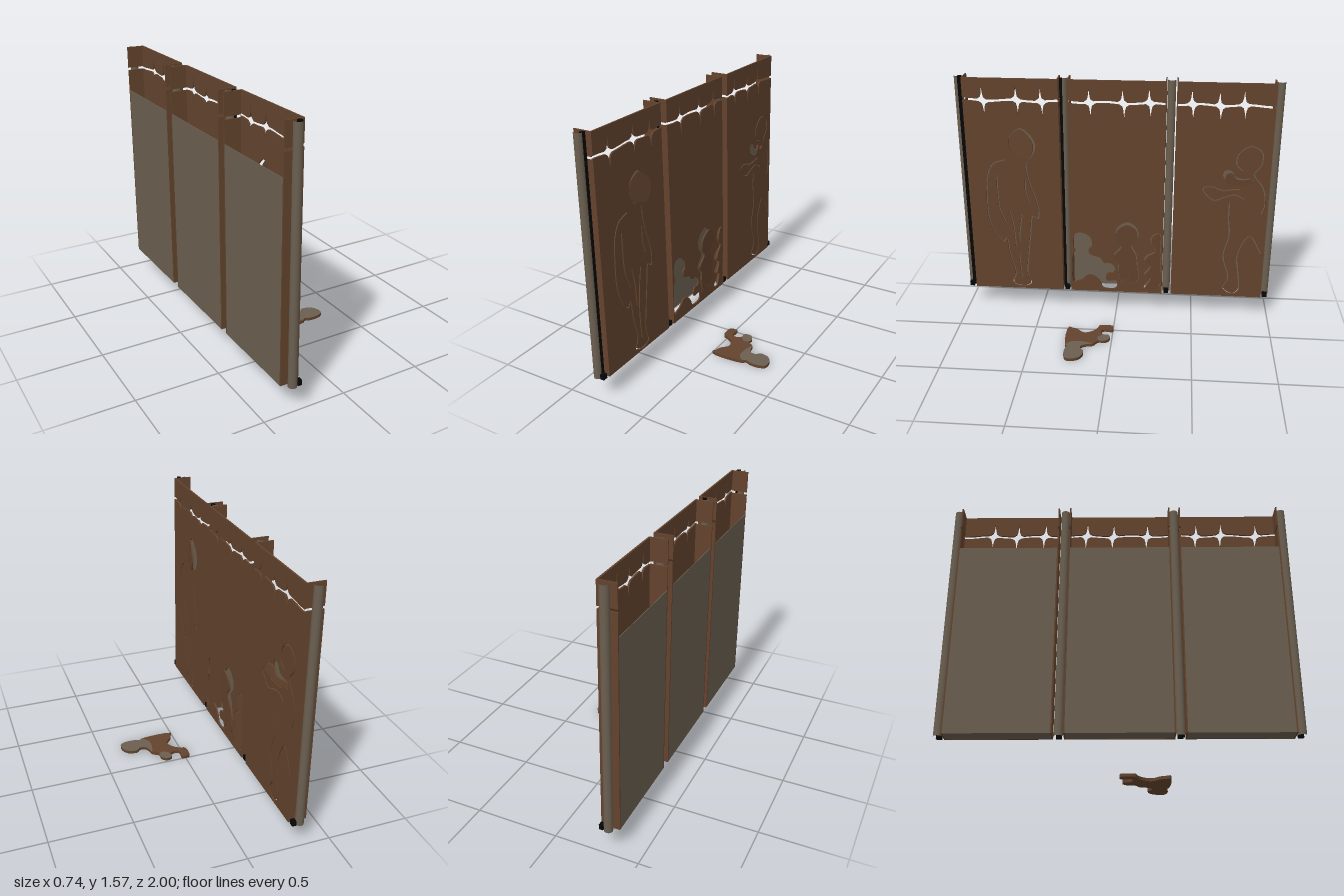
import * as THREE from 'three';

const mat = (name, color, side = THREE.FrontSide) => {
  const m = new THREE.MeshStandardMaterial({ color, side });
  m.name = name;
  return m;
};
const V = (z, y) => new THREE.Vector2(-z, y);
const BOTTOM = 0.14, TOP = 1.57, FACE = -0.27, BACK = -0.37, T = 0.01;

// Smooth outline through [z, y] pairs given in hundredths
function trace(pts, closed) {
  const c = new THREE.CatmullRomCurve3(
    pts.map(([z, y]) => new THREE.Vector3(-z / 100, y / 100, 0)), closed, 'centripetal');
  const n = pts.length * 4;
  const out = c.getPoints(n).map(p => new THREE.Vector2(p.x, p.y));
  if (closed) out.pop();
  return out;
}

// Shift every point of an outline along its normal
function offset(pts, d, closed) {
  const n = pts.length;
  return pts.map((p, i) => {
    const a = pts[closed ? (i + n - 1) % n : Math.max(i - 1, 0)];
    const b = pts[closed ? (i + 1) % n : Math.min(i + 1, n - 1)];
    const t = b.clone().sub(a).normalize();
    return new THREE.Vector2(p.x - t.y * d, p.y + t.x * d);
  });
}
const slit = pts => {
  const c = trace(pts, false);
  return [...offset(c, 0.004), ...offset(c, -0.004).reverse()];
};
const inset = (pts, d) => {
  const c = trace(pts, true);
  return offset(c, THREE.ShapeUtils.isClockWise(c) ? -d : d, true);
};

// Upright plate in the z-y plane, thickness towards +x
function plate(outline, depth, holes = []) {
  const s = new THREE.Shape(outline);
  s.holes = holes.map(h => new THREE.Path(h));
  return new THREE.ExtrudeGeometry(s, { depth, bevelEnabled: false }).rotateY(Math.PI / 2);
}

// Figure outlines
const adultHead = [[60, 126], [54, 122], [51, 117], [51, 112], [55, 106], [59, 107], [64, 108], [67, 113], [67, 120]];
const adultBody = [[57, 104], [57, 99], [55, 89], [52, 80], [50, 70], [51, 65], [54, 67], [56, 54], [58, 38], [59, 25],
  [57, 18], [60, 16], [65, 16], [69, 18], [67, 25], [70, 38], [72, 51], [74, 48], [77, 51], [81, 58], [83, 67], [83, 83],
  [82, 94], [78, 102], [70, 105]];
const adultLines = [[[76, 95], [76, 82], [75, 70], [71, 60]], [[61, 68], [63, 55], [64, 38], [63, 22]],
  [[69, 70], [67, 60], [66, 45]], [[58, 92], [58, 84], [56, 76]]];
const sittingChild = [[-7, 65], [-13, 61], [-14, 54], [-10, 49], [-13, 42], [-14, 33], [-15, 25], [-12, 21], [-8, 25],
  [-3, 20], [-2, 24], [-1, 30], [-1, 36], [2, 41], [-3, 48], [0, 53], [0, 60]];
const edgeChild = [[-27, 58], [-23, 56], [-22, 51], [-25, 45], [-20, 42], [-18, 38], [-22, 34], [-18, 28], [-22, 25],
  [-18, 18], [-22, 16], [-28.5, 19], [-28.5, 43], [-28.5, 57]];
const fallenChild = [[0, 17], [0, 22], [6, 22], [7, 25], [5, 28], [2, 28], [1, 32], [4, 35], [8, 35], [11, 39], [15, 40],
  [18, 42], [18, 45], [16, 47], [17, 53], [21, 56], [26, 56], [28, 52], [28, 46], [27, 43], [28.5, 41], [28.5, 20],
  [26, 21], [23, 22], [18, 26], [13, 24], [10, 20], [9, 17], [4, 16]];
const fallenHead = [[11, 39], [15, 40], [18, 42], [18, 45], [16, 47], [17, 53], [21, 56], [26, 56], [28, 52], [28, 46],
  [27, 43], [28, 41], [24, 37], [16, 37]];
const fallenHand = [[5, 28], [2, 28], [1, 32], [4, 35], [8, 35], [9, 31]];
const raisedArm = [[-84, 93], [-84, 97], [-78, 97], [-74, 98], [-71, 102], [-67, 102], [-66, 98], [-70, 94], [-77, 93]];
const reachingLines = [
  [[-78, 102], [-74, 106], [-75, 113], [-82, 118], [-89, 114], [-89, 106], [-85, 100], [-91, 91], [-93, 81], [-91, 73]],
  [[-80, 83], [-74, 86], [-67, 84], [-61, 82], [-55, 87], [-54, 90], [-60, 91], [-65, 89], [-77, 90]],
  [[-71, 81], [-71, 70], [-72, 58], [-69, 43], [-73, 27], [-70, 20], [-76, 16], [-80, 19], [-79, 33], [-78, 44],
    [-85, 58], [-93.5, 44]]];

// Panels: span in z, barb positions, full cut-outs, narrow slits
const panels = [
  { z0: 0.355, z1: 0.945, barbs: [0.82, 0.61, 0.46], holes: [adultHead], slits: [adultBody, ...adultLines] },
  { z0: -0.3, z1: 0.3, barbs: [0.165, -0.04, -0.2], holes: [sittingChild, edgeChild, fallenChild], slits: [] },
  { z0: -0.95, z1: -0.36, barbs: [-0.455, -0.62, -0.765], holes: [raisedArm], slits: reachingLines },
];

// Edge of the barbed-wire gap, above (s = 1) or below (s = -1)
function wireEdge(p, s) {
  const zs = [];
  for (let i = 0; i <= 40; i++) zs.push(p.z0 + (p.z1 - p.z0) * i / 40);
  p.barbs.forEach(b => [-0.03, -0.012, -0.006, 0, 0.006, 0.012, 0.03].forEach(d => zs.push(b + d + s * 0.005)));
  zs.sort((a, b) => a - b);
  return zs.map(z => {
    let h = 0.008;
    p.barbs.forEach(b => {
      const d = Math.abs(z - b - s * 0.005);
      h += Math.max(0, 0.02 * (1 - d / 0.03)) + Math.max(0, 0.06 * (1 - d / 0.008));
    });
    return V(z, 1.432 + 0.005 * Math.sin(z * 22) + s * h);
  });
}

export function createModel() {
  const root = new THREE.Group();
  const rust = mat('rusty steel', 0x63432d);
  const grey = mat('grey steel', 0x6a5f50);
  const black = mat('black', 0x060606);
  const add = (name, geo, m, parent = root) => {
    const mesh = new THREE.Mesh(geo, m);
    mesh.name = name;
    parent.add(mesh);
    return mesh;
  };
  const box = (name, m, x0, x1, y0, y1, z0, z1) =>
    add(name, new THREE.BoxGeometry(x1 - x0, y1 - y0, z1 - z0), m)
      .position.set((x0 + x1) / 2, (y0 + y1) / 2, (z0 + z1) / 2);

  panels.forEach(p => {
    // Front sheet below and above the barbed-wire cut
    const holes = [...p.holes.map(h => trace(h, true)), ...p.slits.map(slit)];
    const lower = [...wireEdge(p, -1), V(p.z1, BOTTOM), V(p.z0, BOTTOM)];
    const upper = [...wireEdge(p, 1), V(p.z1, TOP), V(p.z0, TOP)];
    add('frontSheet', plate(lower, T, holes), rust).position.x = FACE;
    add('topStrip', plate(upper, T), rust).position.x = FACE;

    // Folded sides, each cut at wire height
    [p.z0, p.z1 - 0.008].forEach(z => {
      box('sideFlange', rust, BACK, FACE, BOTTOM, 1.422, z, z + 0.008);
      box('upperSideFlange', rust, BACK, FACE, 1.438, TOP, z, z + 0.008);
    });

    // Backing sheet and downward-facing floor
    box('backSheet', grey, BACK, BACK + 0.004, BOTTOM, 1.29, p.z0 + 0.008, p.z1 - 0.008);
    const floor = add('bottomSheet', new THREE.PlaneGeometry(FACE - BACK, p.z1 - p.z0).rotateX(Math.PI / 2), grey);
    floor.position.set((FACE + BACK) / 2, BOTTOM + 0.001, (p.z0 + p.z1) / 2);
  });

  // Round posts, open at both ends
  [-0.975, -0.328, 0.328, 0.975].forEach(z => {
    const post = add('post', new THREE.CylinderGeometry(0.025, 0.025, TOP - BOTTOM, 24, 1, true), grey);
    post.position.set(-0.315, (TOP + BOTTOM) / 2, z);
    box('postFoot', black, -0.29, -0.265, BOTTOM, BOTTOM + 0.03, z - 0.015, z + 0.015);
  });
  box('darkSeam', black, -0.31, -0.289, BOTTOM, TOP, 0.953, 0.975);
  box('darkSeam', black, -0.31, -0.289, BOTTOM, TOP, 0.333, 0.35);

  // Cut pieces bent out of the sheets around a hinge line
  const bent = (name, pts, hinge, axis, angle) => {
    const g = new THREE.Group();
    g.name = name;
    const [y, z] = axis === 'y' ? [0, hinge] : [hinge, 0];
    g.position.set(FACE, y, z);
    g.rotation[axis] = angle;
    add(name + 'Plate', plate(inset(pts, 0.005), T), rust, g).position.set(0, -y, -z);
    root.add(g);
  };
  bent('adultHead', adultHead, 0.67, 'y', -0.2);
  bent('raisedArm', raisedArm, -0.84, 'y', 0.3);
  bent('sittingChild', sittingChild, 0.2, 'z', -0.08);
  bent('edgeChild', edgeChild, -0.285, 'y', 0.22);

  // Cut-out child lying on the ground
  const fallen = new THREE.Group();
  fallen.name = 'fallenChild';
  add('fallenBody', plate(inset(fallenChild, 0.002), 0.018), rust, fallen);
  [['fallenHeadFace', fallenHead], ['fallenHandFace', fallenHand]].forEach(([name, pts]) => {
    add(name, plate(inset(pts, 0.002), 0.002), grey, fallen).position.x = -0.002;
  });
  fallen.rotation.z = -Math.PI / 2;
  fallen.position.set(-0.195, 0.018, 0);
  root.add(fallen);
  return root;
}
